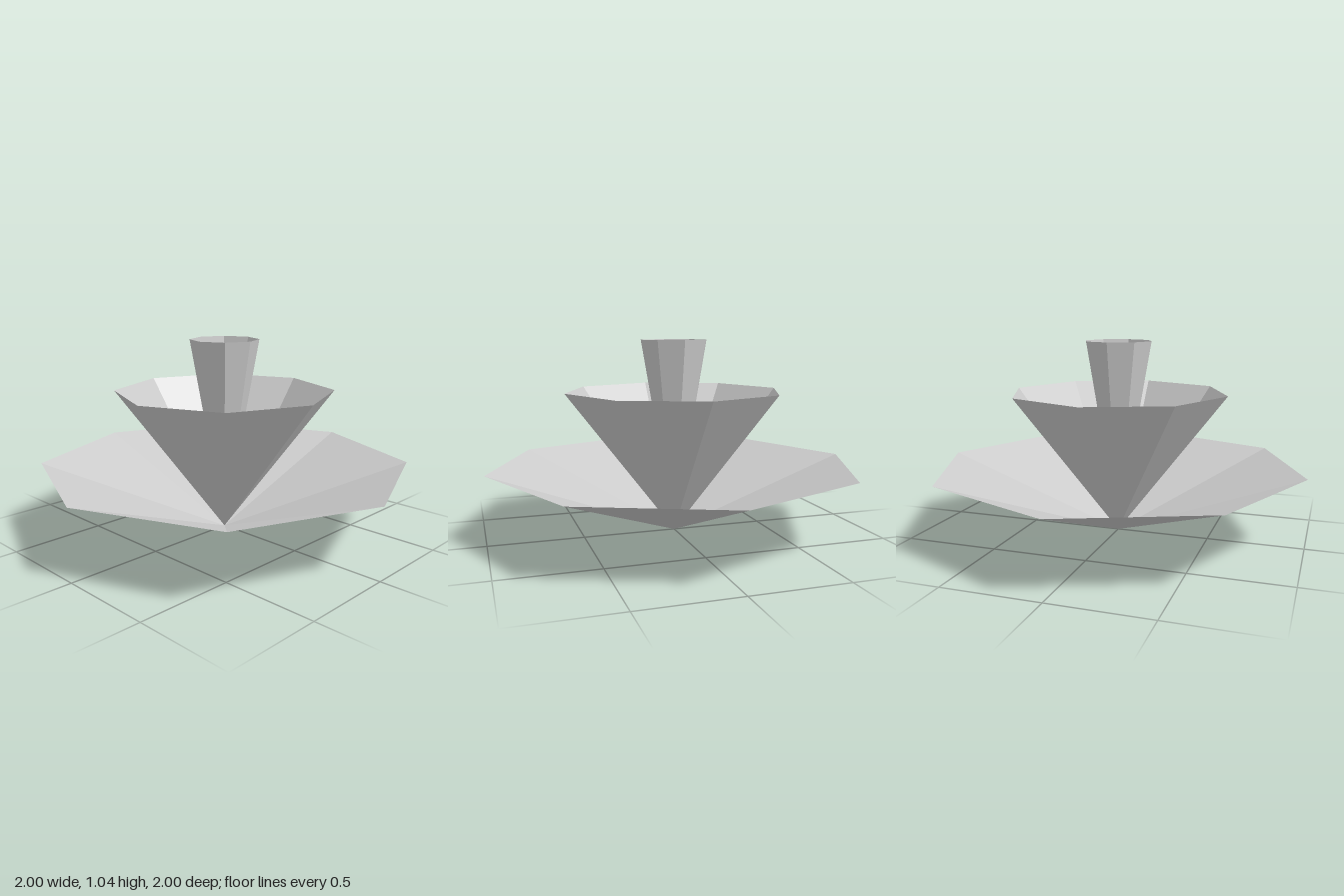
import * as THREE from 'three';

// Three nested, open eight-sided cones that share one apex on the ground.
export function createModel() {
  const model = new THREE.Group();
  model.name = 'flower';
  const material = new THREE.MeshStandardMaterial({
    color: 0xcccccc, flatShading: true, side: THREE.DoubleSide,
  });

  // rim radius and rim height of each whorl of petals
  const whorls = [
    { name: 'outerPetals', radius: 1.0, height: 0.365 },
    { name: 'middlePetals', radius: 0.588, height: 0.767 },
    { name: 'innerPetals', radius: 0.183, height: 1.038 },
  ];
  for (const { name, radius, height } of whorls) {
    const geometry = new THREE.CylinderGeometry(radius, 0, height, 8, 1, true);
    geometry.translate(0, height / 2, 0);
    const mesh = new THREE.Mesh(geometry, material);
    mesh.name = name;
    model.add(mesh);
  }
  return model;
}
